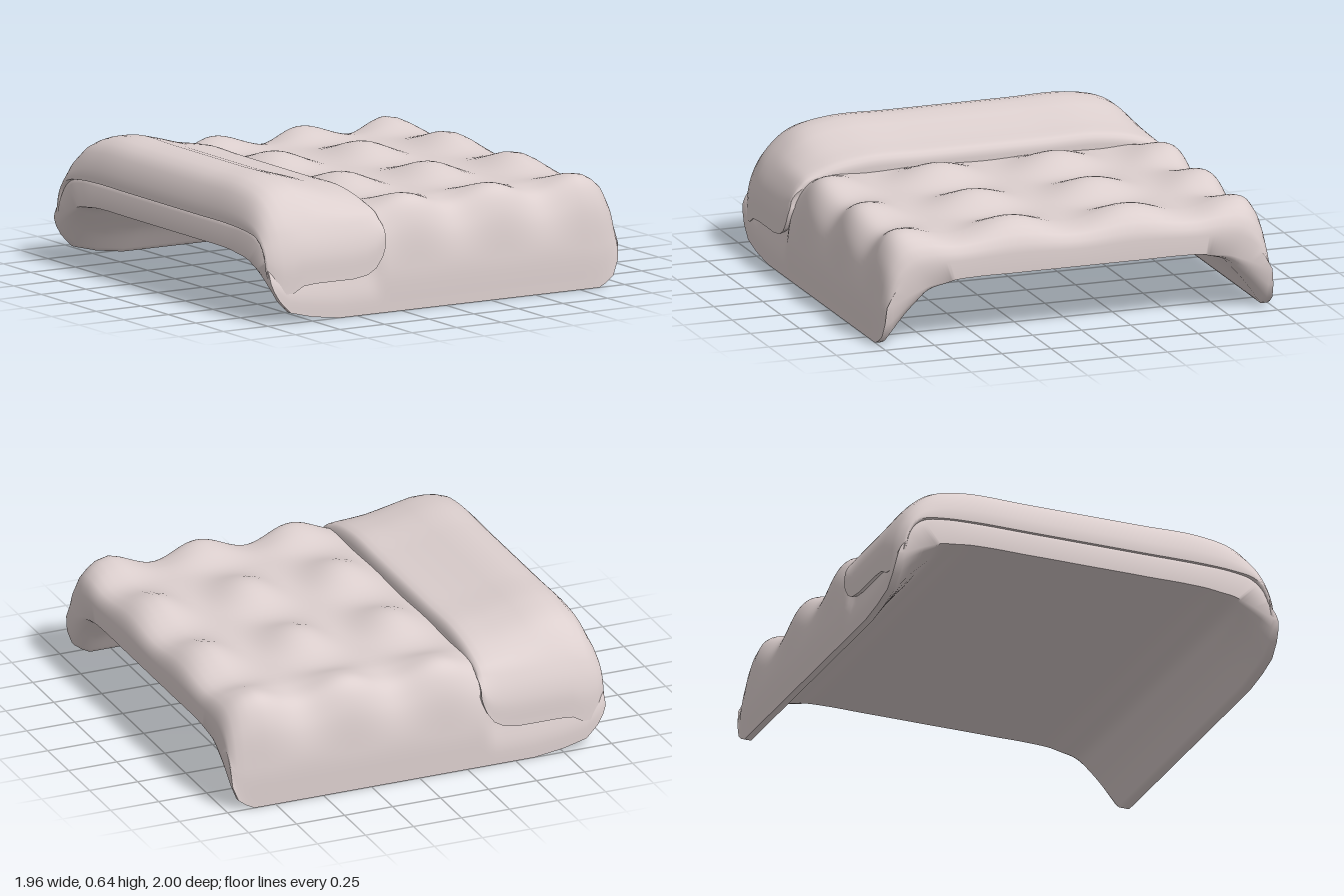
import * as THREE from 'three';
import { toCreasedNormals } from 'three/addons/utils/BufferGeometryUtils.js';

const N = 96; // samples along each profile
const { smoothstep, lerp } = THREE.MathUtils;

// Mirror a half profile of [z, y] points and sample it from front hem to back hem
function profile(half) {
  const mirrored = half.slice(0, -1).reverse().map(([z, y]) => [-z, y]);
  const pts = [...half, ...mirrored].map(([z, y]) => new THREE.Vector3(0, y, z));
  return new THREE.CatmullRomCurve3(pts, false, 'centripetal').getPoints(N);
}

// Loft a thick cloth shell along x; section(station) returns { x, outer, inner }
function clothShell(stations, section) {
  const pos = [], index = [], n = N + 1, ring = 2 * n;
  stations.forEach((station) => {
    const { x, outer, inner } = section(station);
    [...outer, ...inner.slice().reverse()].forEach(([z, y]) => pos.push(x, y, z));
  });
  for (let j = 0; j < stations.length - 1; j++) {
    for (let i = 0; i < ring; i++) {
      const a = j * ring + i, b = j * ring + (i + 1) % ring;
      index.push(a, a + ring, b, b, a + ring, b + ring);
    }
  }
  // close both ends between the outer and inner profile
  const last = (stations.length - 1) * ring;
  for (let i = 0; i < N; i++) {
    const o = i, p = i + 1, q = ring - 1 - i, r = ring - 2 - i;
    index.push(o, r, q, o, p, r);
    index.push(last + o, last + q, last + r, last + o, last + r, last + p);
  }
  const geo = new THREE.BufferGeometry();
  geo.setAttribute('position', new THREE.Float32BufferAttribute(pos, 3));
  geo.setIndex(index);
  return toCreasedNormals(geo, 1.0);
}

// Raise the hem by lift, fading out towards height top
const raise = (y, lift, top) => y + lift * Math.max(0, 1 - y / top);

// Move each outer point towards the inner one by k, rounding the ends
const pinch = (outer, inner, k) =>
  outer.map(([z, y], i) => [lerp(z, inner[i][0], k), lerp(y, inner[i][1], k)]);

function quiltGeometry() {
  const outerBase = profile([[1, 0], [0.995, 0.2], [0.965, 0.37], [0.9, 0.455],
    [0.78, 0.485], [0.6, 0.485], [0.3, 0.485], [0, 0.485]]);
  const innerBase = profile([[0.965, 0], [0.88, 0.12], [0.82, 0.19], [0.76, 0.25],
    [0.68, 0.28], [0.6, 0.305], [0.3, 0.31], [0, 0.31]]);
  // stations: x, hem lift, end pinch
  const stations = [[-0.975, 0.2, 0.35], [-0.96, 0.16, 0.2], [-0.93, 0.11, 0.08],
    [-0.87, 0.05, 0.02], [-0.75, 0.02, 0], [-0.6, 0, 0]];
  for (let i = 0; i <= 45; i++) stations.push([-0.55 + i * 0.03, 0, 0]);
  stations.push([0.86, 0, 0.03], [0.9, 0.02, 0.07], [0.94, 0.05, 0.14],
    [0.968, 0.12, 0.3], [0.975, 0.2, 0.5]);

  return clothShell(stations, ([x, lift, k]) => {
    const open = smoothstep(x, -0.42, -0.33); // 0 beneath the fold
    const cx = 0.5 + 0.5 * Math.cos(2 * Math.PI * (x + 0.15) / 0.485);
    const inner = innerBase.map((p) => [p.z, raise(p.y, lift, 0.31)]);
    const outer = outerBase.map((p) => {
      const upper = smoothstep(p.y, 0.2, 0.45);
      const cz = 0.5 - 0.5 * Math.cos(2 * Math.PI * p.z / 0.6);
      // padded pillows on top, soft ripples on the shoulders
      const puff = 0.065 * cx * cz * upper * open;
      const ripple = 0.02 * (1 - cx) * upper * open;
      const tuck = 0.025 * (1 - open) * smoothstep(p.y, 0.05, 0.25);
      return [p.z * (1 - ripple - tuck), raise(p.y, lift, 0.45) + puff - tuck * 0.8];
    });
    return { x, outer: pinch(outer, inner, k), inner };
  });
}

function foldGeometry() {
  const outerBase = profile([[1, 0.18], [0.99, 0.31], [0.955, 0.41], [0.885, 0.515],
    [0.78, 0.6], [0.6, 0.64], [0.3, 0.64], [0, 0.64]]);
  const innerBase = profile([[0.95, 0.2], [0.93, 0.3], [0.9, 0.36], [0.85, 0.4],
    [0.75, 0.42], [0.6, 0.43], [0.3, 0.43], [0, 0.43]]);
  // stations: x, crown height, hem lift, end pinch
  const stations = [[-0.98, 0.64, 0.08, 0.9], [-0.972, 0.64, 0.02, 0.7],
    [-0.94, 0.64, -0.04, 0.33], [-0.9, 0.64, -0.07, 0.13], [-0.85, 0.638, -0.06, 0.03],
    [-0.8, 0.64, -0.01, 0], [-0.73, 0.64, 0, 0], [-0.65, 0.62, 0, 0],
    [-0.52, 0.583, 0, 0], [-0.44, 0.571, 0.02, 0], [-0.39, 0.562, 0.07, 0],
    [-0.355, 0.557, 0.15, 0.02], [-0.338, 0.55, 0.22, 0.08],
    [-0.33, 0.535, 0.28, 0.25], [-0.338, 0.53, 0.32, 0.7]];

  return clothShell(stations, ([x, crown, lift, k]) => {
    const inner = innerBase.map((p) => [p.z, raise(p.y, lift, 0.43)]);
    const outer = outerBase.map((p) => [p.z,
      raise(p.y, lift, 0.45) - (0.64 - crown) * smoothstep(p.y, 0.44, 0.64)]);
    return { x, outer: pinch(outer, inner, k), inner };
  });
}

export function createModel() {
  const group = new THREE.Group();
  group.name = 'blanket';
  const material = new THREE.MeshStandardMaterial({ color: 0xdccfce });
  const add = (name, geometry) => {
    const mesh = new THREE.Mesh(geometry, material);
    mesh.name = name;
    group.add(mesh);
  };
  add('quilt', quiltGeometry());
  add('foldedEdge', foldGeometry());
  return group;
}
